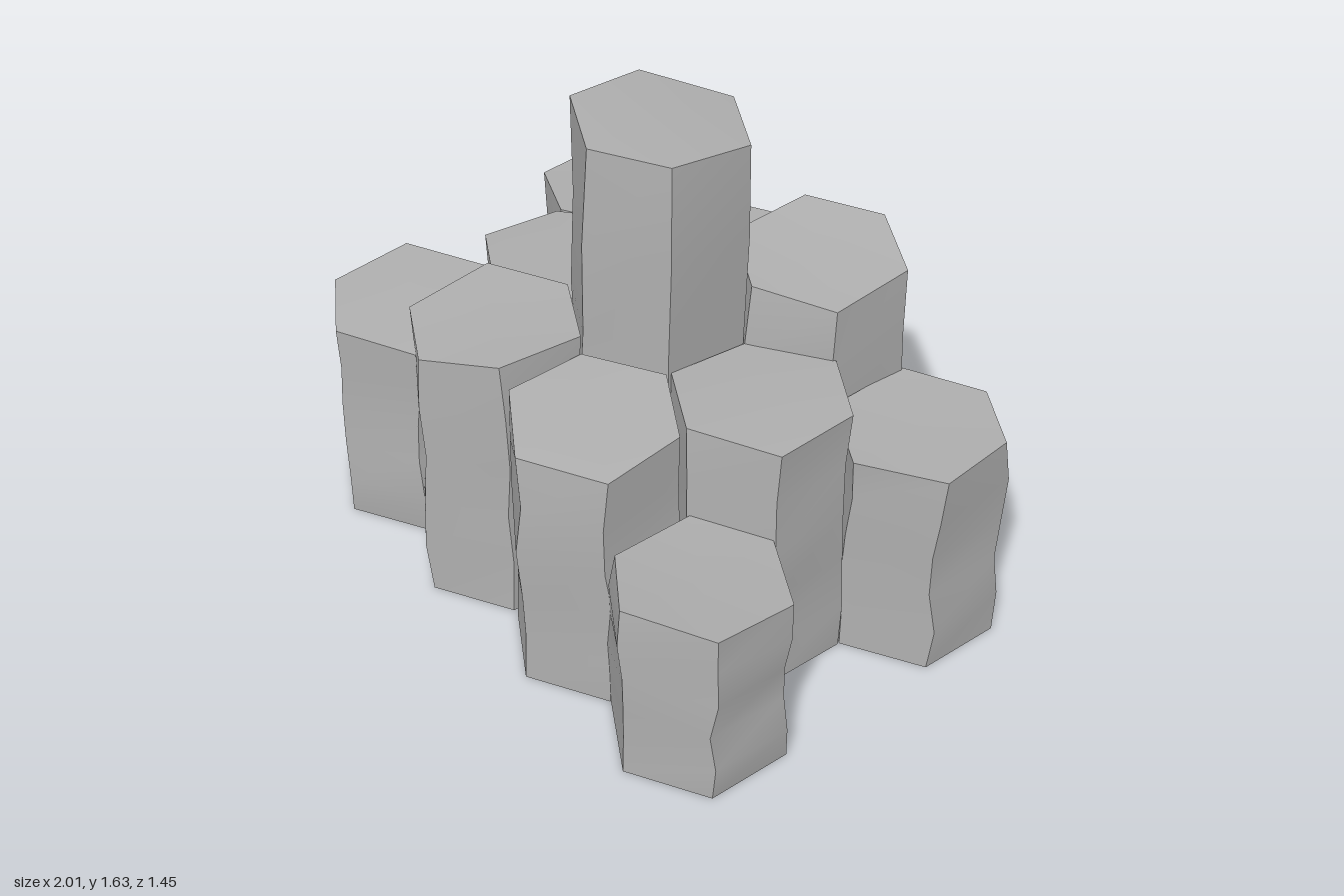
import * as THREE from 'three';
import { toCreasedNormals } from 'three/addons/utils/BufferGeometryUtils.js';

// x, z, top height, top slope along x, top slope along z
const COLUMNS = [
  [-0.745, 0.43, 0.755, -0.05, 0.0],
  [-0.255, 0.43, 0.945, 0.07, -0.08],
  [0.255, 0.43, 0.89, -0.04, -0.05],
  [0.75, 0.43, 0.61, 0.0, 0.08],
  [-0.48, 0.0, 0.885, 0.05, 0.0],
  [0.0, 0.0, 1.61, -0.06, 0.08],
  [0.495, 0.0, 0.9, 0.0, 0.02],
  [-0.74, -0.43, 0.855, 0.06, 0.0],
  [-0.255, -0.43, 0.875, 0.03, 0.0],
  [0.25, -0.43, 1.105, -0.04, -0.05],
  [0.74, -0.43, 0.745, -0.02, -0.03],
];
const RADIUS = 0.283;

// repeatable noise in -1..1
function noise(a, b, c) {
  const s = Math.sin(a * 12.99 + b * 78.23 + c * 37.72) * 43758.55;
  return (s - Math.floor(s)) * 2 - 1;
}

function columnGeometry(index, height, slopeX, slopeZ) {
  const rows = 5;
  const geo = new THREE.CylinderGeometry(RADIUS, RADIUS, 1, 6, rows);
  const pos = geo.attributes.position;
  for (let i = 0; i < pos.count; i++) {
    const x = pos.getX(i), z = pos.getZ(i), t = pos.getY(i) + 0.5;
    const row = Math.round(t * rows);
    const rim = Math.hypot(x, z) > 0.01;
    const corner = rim ? (Math.round(Math.atan2(x, z) / (Math.PI / 3)) + 6) % 6 : 7;
    // worn corners: small sideways drift along the height, slightly drawn-in top
    const wear = rim && row > 0 ? 0.014 : 0;
    const taper = row === rows ? 0.98 : 1;
    const dx = wear * noise(index, corner, row);
    const dz = wear * noise(index + 20, corner, row);
    // sloping, uneven top
    const top = height + slopeX * x + slopeZ * z + 0.014 * noise(index + 40, corner, 1);
    pos.setXYZ(i, x * taper + dx, t * top, z * taper + dz);
  }
  return toCreasedNormals(geo, 0.75);
}

export function createModel() {
  const model = new THREE.Group();
  model.name = 'basaltColumns';
  const stone = new THREE.MeshStandardMaterial({ color: 0xb0b0b0 });
  stone.name = 'grey stone';

  COLUMNS.forEach(([x, z, height, slopeX, slopeZ], i) => {
    const mesh = new THREE.Mesh(columnGeometry(i, height, slopeX, slopeZ), stone);
    mesh.name = i === 5 ? 'tallCentreColumn' : 'column' + (i + 1);
    mesh.position.set(x, 0, z);
    model.add(mesh);
  });
  return model;
}
